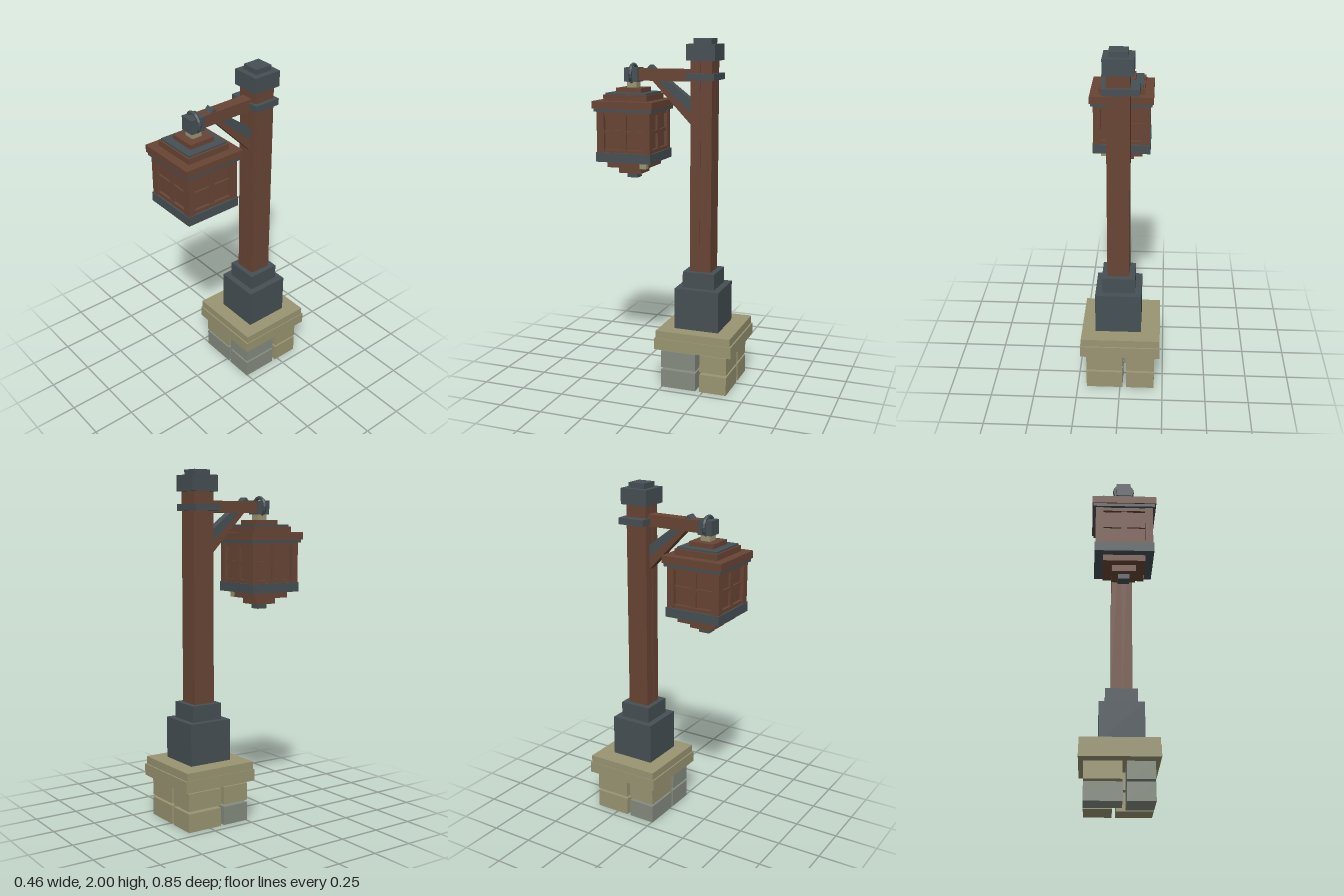
import * as THREE from 'three';

export function createModel() {
  const model = new THREE.Group();
  model.name = 'lanternPost';
  const material = (name, color) => {
    const m = new THREE.MeshStandardMaterial({ color });
    m.name = name;
    return m;
  };
  const wood = material('brown wood', 0x694535);
  const iron = material('slate iron', 0x465055);
  const sand = material('olive stone', 0x9a9572);
  const grey = material('grey stone', 0x858c80);

  const add = (parent, name, geometry, mat) => {
    const mesh = new THREE.Mesh(geometry, mat);
    mesh.name = name;
    parent.add(mesh);
    return mesh;
  };
  // Box given by its limits on each axis
  const block = (parent, name, mat, [x0, x1], [y0, y1], [z0, z1]) => {
    const mesh = add(parent, name, new THREE.BoxGeometry(x1 - x0, y1 - y0, z1 - z0), mat);
    mesh.position.set((x0 + x1) / 2, (y0 + y1) / 2, (z0 + z1) / 2);
    return mesh;
  };
  // Square slab centred on the axis of its parent
  const slab = (parent, name, mat, half, y0, y1) =>
    block(parent, name, mat, [-half, half], [y0, y1], [-half, half]);

  // Pinwheel stone courses: x range, z range, lower colour, upper colour
  const bricks = [
    [[-0.2, 0.015], [-0.155, 0.005], grey, sand],
    [[0.037, 0.197], [-0.205, 0.005], grey, grey],
    [[-0.015, 0.197], [-0.39, -0.23], sand, sand],
    [[-0.2, -0.037], [-0.39, -0.178], sand, sand],
  ];
  const base = new THREE.Group();
  base.name = 'stoneBase';
  model.add(base);
  for (const [x, z, lower, upper] of bricks) {
    block(base, 'lowerBrick', lower, x, [0, 0.107], z);
    block(base, 'upperBrick', upper, x, [0.121, 0.222], z);
  }
  block(base, 'capstoneLower', sand, [-0.23, 0.229], [0.238, 0.305], [-0.425, 0.035]);
  block(base, 'capstoneUpper', sand, [-0.227, 0.224], [0.305, 0.35], [-0.416, 0.027]);

  // Post with its iron fittings
  const post = new THREE.Group();
  post.name = 'post';
  post.position.set(0.013, 0, -0.191);
  model.add(post);
  slab(post, 'footBlock', iron, 0.132, 0.35, 0.59);
  slab(post, 'footCollar', iron, 0.095, 0.59, 0.683);
  slab(post, 'postCore', wood, 0.062, 0.68, 1.89);
  for (const [a, b] of [[-0.062, -0.002], [0.004, 0.052]]) {
    block(post, 'frontPlank', wood, [a, b], [0.68, 1.88], [0.06, 0.067]);
    block(post, 'sidePlank', wood, [0.06, 0.065], [0.68, 1.88], [a, b]);
  }
  block(post, 'collarBand', iron, [-0.114, 0.087], [1.773, 1.81], [-0.08, 0.08]);
  slab(post, 'capBlock', iron, 0.084, 1.88, 1.97);
  slab(post, 'capTop', iron, 0.052, 1.97, 2);

  // Arm and sloping brace
  const arm = new THREE.Group();
  arm.name = 'arm';
  model.add(arm);
  block(arm, 'beam', wood, [-0.022, 0.045], [1.763, 1.83], [-0.14, 0.21]);
  // Extrudes a (z, y) outline across x
  const sidePlate = (name, mat, points, x0, x1) => {
    const shape = new THREE.Shape(points.map(([z, y]) => new THREE.Vector2(-z, y)));
    const g = new THREE.ExtrudeGeometry(shape, { depth: x1 - x0, bevelEnabled: false });
    g.rotateY(Math.PI / 2);
    g.translate(x0, 0, 0);
    add(arm, name, g, mat);
  };
  sidePlate('brace', wood, [[0.12, 1.77], [-0.13, 1.51], [-0.13, 1.6], [0.05, 1.77]], -0.012, 0.04);
  sidePlate('braceStrap', iron,
    [[0.153, 1.825], [-0.13, 1.58], [-0.13, 1.652], [0.098, 1.825], [0.127, 1.852]], -0.013, 0.042);

  // Hanger block with ring
  block(arm, 'hangerBlock', iron, [-0.029, 0.055], [1.755, 1.835], [0.197, 0.282]);
  const ring = add(arm, 'hangerRing', new THREE.TorusGeometry(0.052, 0.011, 6, 16), iron);
  ring.position.set(0.013, 1.8, 0.24);
  ring.geometry = ring.geometry.toNonIndexed();
  ring.geometry.computeVertexNormals();

  // Lantern
  const lantern = new THREE.Group();
  lantern.name = 'lantern';
  lantern.position.set(0.012, 0, 0.24);
  model.add(lantern);
  slab(lantern, 'hook', sand, 0.03, 1.715, 1.76);
  slab(lantern, 'roofTop', wood, 0.076, 1.69, 1.722);
  slab(lantern, 'roofPlate', iron, 0.122, 1.685, 1.696);
  slab(lantern, 'roofStep', wood, 0.132, 1.65, 1.686);
  slab(lantern, 'eave', wood, 0.182, 1.61, 1.652);
  slab(lantern, 'upperBand', iron, 0.175, 1.592, 1.612);
  slab(lantern, 'core', wood, 0.14, 1.34, 1.6);
  slab(lantern, 'lowerBand', iron, 0.167, 1.306, 1.36);
  slab(lantern, 'bottomStep', wood, 0.119, 1.27, 1.307);
  slab(lantern, 'bottomTip', wood, 0.068, 1.232, 1.271);
  slab(lantern, 'finial', iron, 0.032, 1.203, 1.233);
  block(lantern, 'bottomChip', sand, [0.085, 0.122], [1.27, 1.307], [-0.122, -0.082]);

  // Framed window on each of the four sides
  for (let i = 0; i < 4; i++) {
    const side = new THREE.Group();
    side.name = 'windowFrame';
    side.rotation.y = (i * Math.PI) / 2;
    lantern.add(side);
    block(side, 'cornerPost', wood, [0.118, 0.162], [1.355, 1.595], [0.118, 0.162]);
    block(side, 'topRail', wood, [-0.119, 0.119], [1.572, 1.595], [0.135, 0.157]);
    block(side, 'bottomRail', wood, [-0.119, 0.119], [1.355, 1.38], [0.135, 0.157]);
    block(side, 'mullion', wood, [-0.016, 0.016], [1.38, 1.572], [0.135, 0.153]);
    block(side, 'crossbar', wood, [-0.119, 0.119], [1.466, 1.486], [0.135, 0.151]);
  }
  return model;
}
